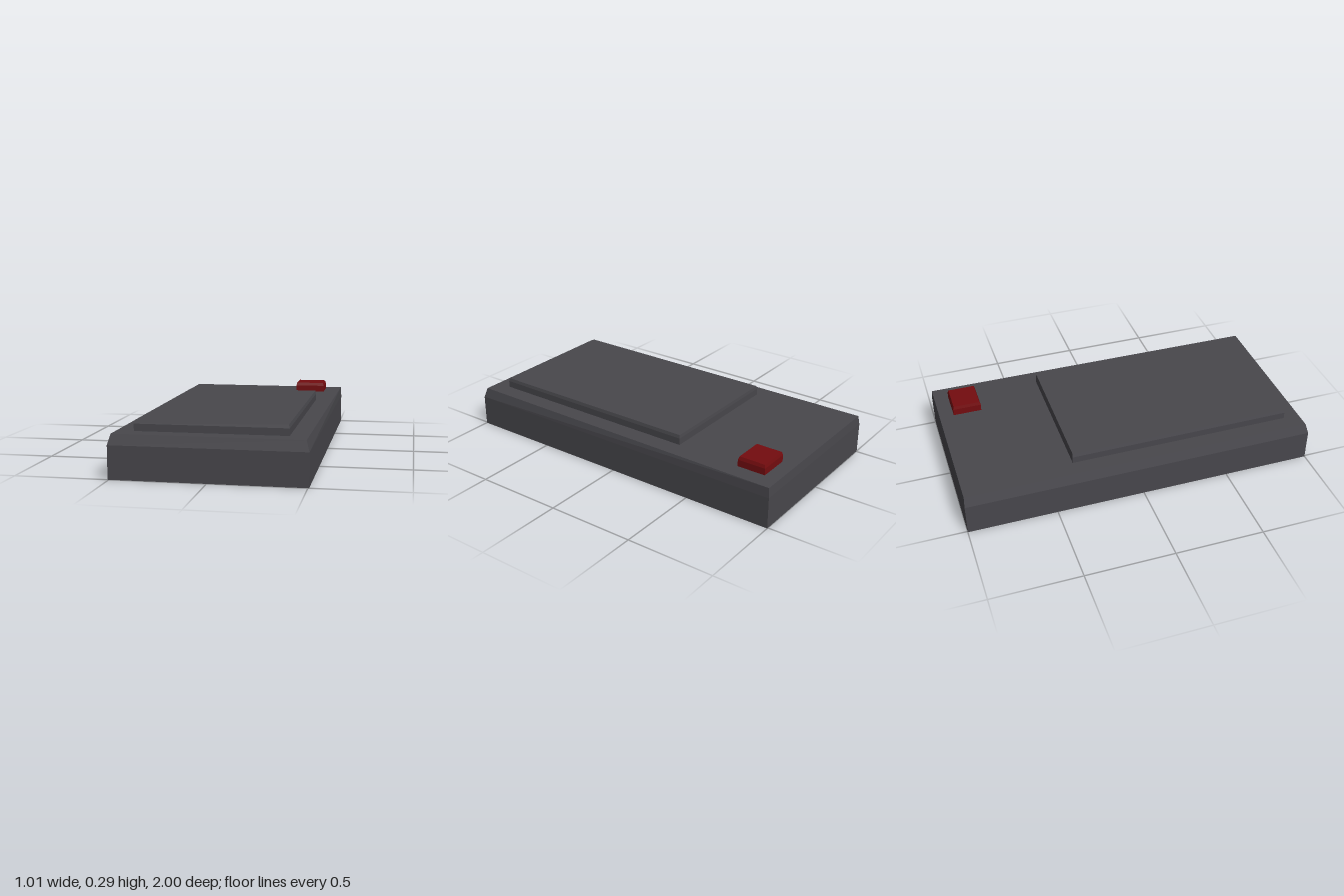
import * as THREE from 'three';

const grey = new THREE.MeshStandardMaterial({ name: 'dark grey', color: 0x48474c });
const red = new THREE.MeshStandardMaterial({ name: 'dark red', color: 0x740c0f });

// Block with vertical walls up to y1, then sloping in to a smaller top.
// Each ring lists [x, y, z] corners: front left, front right, back right, back left on screen.
function block(name, material, rings) {
  const pos = [];
  const quad = (a, b, c, d) => pos.push(...a, ...b, ...c, ...a, ...c, ...d);
  for (let r = 0; r < rings.length - 1; r++) {
    for (let i = 0; i < 4; i++) {
      const j = (i + 1) % 4;
      quad(rings[r][i], rings[r][j], rings[r + 1][j], rings[r + 1][i]);
    }
  }
  quad(...rings[rings.length - 1]);
  quad(...[...rings[0]].reverse());
  const geo = new THREE.BufferGeometry();
  geo.setAttribute('position', new THREE.Float32BufferAttribute(pos, 3));
  geo.computeVertexNormals();
  const mesh = new THREE.Mesh(geo, material);
  mesh.name = name;
  return mesh;
}

// Rectangular ring of corners at height y
const rect = (x0, x1, z0, z1, y) => [[x0, y, z1], [x1, y, z1], [x1, y, z0], [x0, y, z0]];

export function createModel() {
  const group = new THREE.Group();
  group.name = 'device';

  // Body: the top face runs out almost to the wall at the back right corner
  const bodyTop = [[-0.49, 0.232, 0.984], [0.49, 0.232, 0.984], [0.502, 0.232, -0.996], [-0.49, 0.232, -0.996]];
  group.add(block('body', grey, [
    rect(-0.506, 0.506, -1, 1, 0),
    rect(-0.506, 0.506, -1, 1, 0.176),
    bodyTop,
  ]));

  // Raised panel
  group.add(block('panel', grey, [
    rect(-0.398, 0.396, -0.378, 0.891, 0.225),
    rect(-0.398, 0.396, -0.378, 0.891, 0.27),
    rect(-0.393, 0.391, -0.375, 0.885, 0.288),
  ]));

  // Button
  group.add(block('button', red, [
    rect(0.227, 0.407, -0.914, -0.752, 0.225),
    rect(0.227, 0.407, -0.914, -0.752, 0.27),
    rect(0.231, 0.4, -0.909, -0.758, 0.288),
  ]));

  return group;
}
